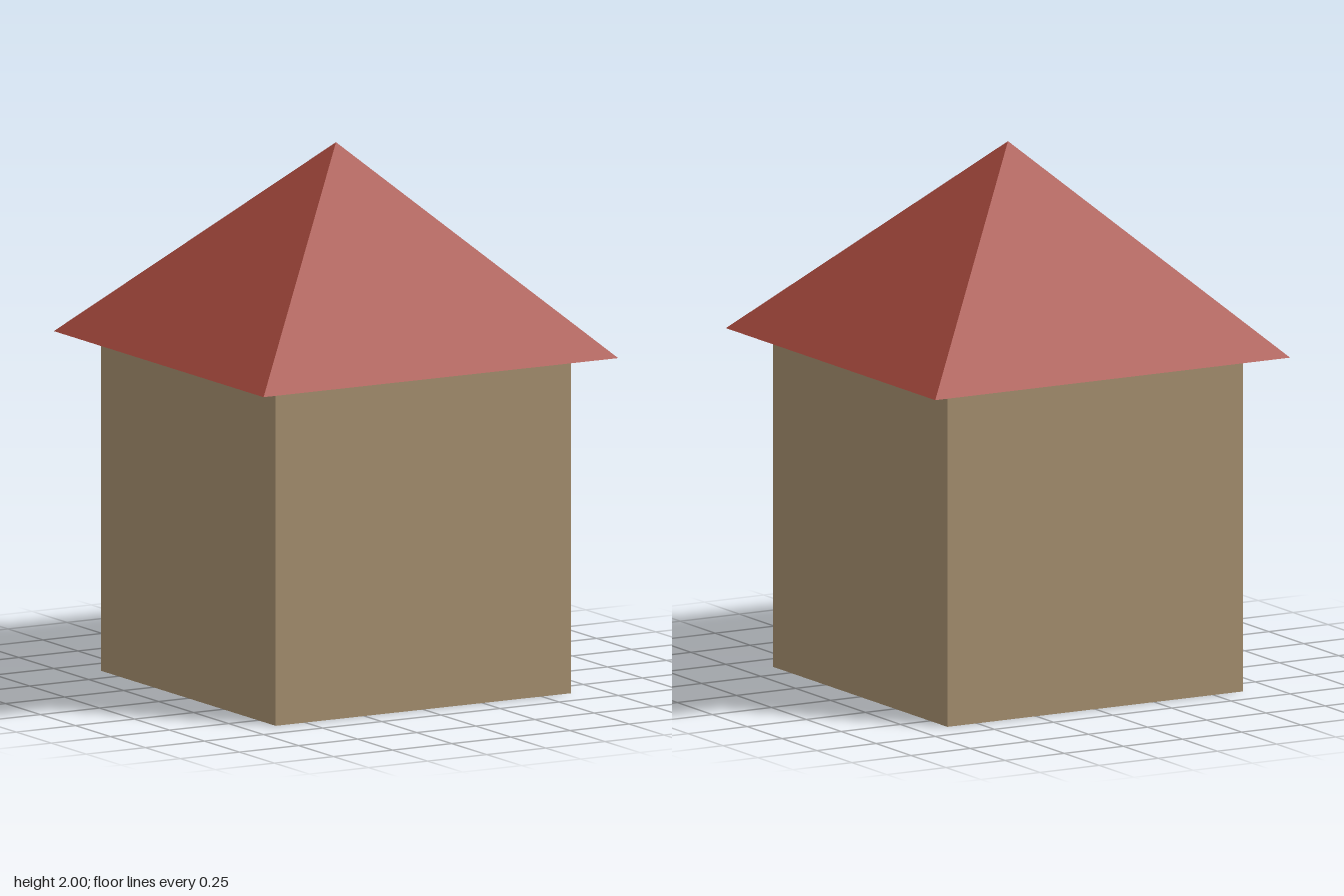
import * as THREE from 'three';

// Open four-sided shell with its flat sides facing the axes
function squareShell(name, topHalf, bottomHalf, y0, y1, color) {
  const geometry = new THREE.CylinderGeometry(
    topHalf * Math.SQRT2, bottomHalf * Math.SQRT2, y1 - y0, 4, 1, true, Math.PI / 4);
  const material = new THREE.MeshStandardMaterial({ color, flatShading: true, side: THREE.DoubleSide });
  const mesh = new THREE.Mesh(geometry, material);
  mesh.name = name;
  mesh.position.y = (y0 + y1) / 2;
  return mesh;
}

export function createModel() {
  const house = new THREE.Group();
  house.name = 'house';
  // Four thin walls, open below and above
  house.add(squareShell('walls', 0.625, 0.625, 0, 1.25, 0xa48e6e));
  // Hollow pyramid roof overhanging the walls
  house.add(squareShell('roof', 0, 0.75, 1.25, 2, 0xa5483d));
  return house;
}
